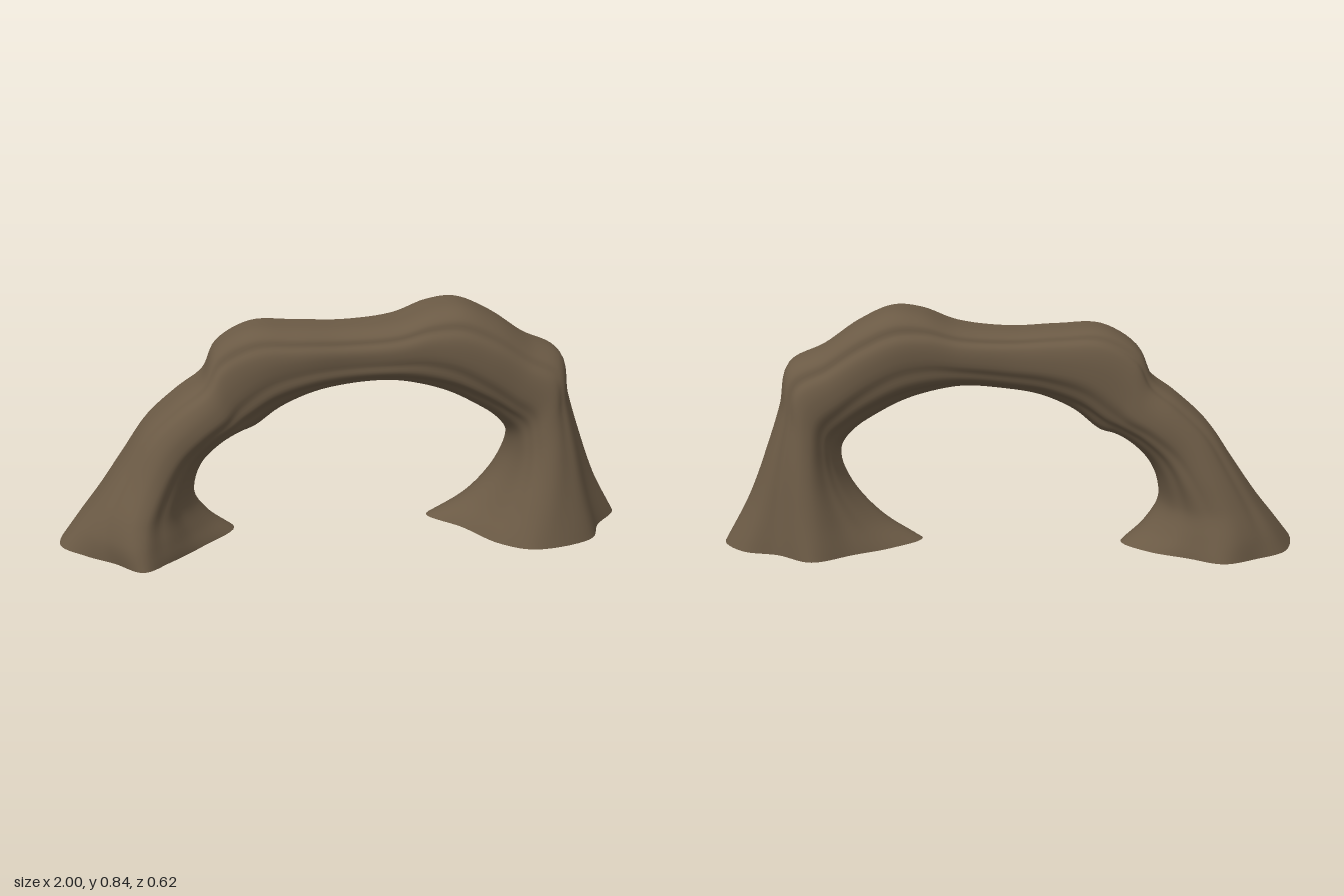
import * as THREE from 'three';

// Stations along the arch: outer x, outer y, inner x, inner y, front z, back z
const STATIONS = [
  [-1.0, 0, -0.39, 0, 0.305, -0.31],
  [-0.94, 0.08, -0.47, 0.06, 0.285, -0.29],
  [-0.87, 0.17, -0.525, 0.14, 0.25, -0.26],
  [-0.78, 0.3, -0.52, 0.22, 0.205, -0.235],
  [-0.69, 0.43, -0.485, 0.295, 0.18, -0.21],
  [-0.58, 0.53, -0.42, 0.36, 0.17, -0.195],
  [-0.49, 0.6, -0.36, 0.395, 0.15, -0.18],
  [-0.44, 0.7, -0.31, 0.41, 0.125, -0.17],
  [-0.32, 0.77, -0.22, 0.48, 0.14, -0.165],
  [-0.17, 0.77, -0.1, 0.535, 0.135, -0.16],
  [0, 0.765, 0.03, 0.56, 0.12, -0.157],
  [0.18, 0.785, 0.16, 0.57, 0.14, -0.17],
  [0.3, 0.83, 0.26, 0.555, 0.155, -0.185],
  [0.4, 0.84, 0.36, 0.525, 0.165, -0.195],
  [0.52, 0.79, 0.45, 0.48, 0.165, -0.195],
  [0.64, 0.71, 0.54, 0.42, 0.158, -0.193],
  [0.76, 0.65, 0.585, 0.36, 0.16, -0.2],
  [0.79, 0.52, 0.585, 0.29, 0.175, -0.215],
  [0.84, 0.37, 0.54, 0.2, 0.205, -0.24],
  [0.91, 0.19, 0.44, 0.1, 0.245, -0.27],
  [1.0, 0.025, 0.31, 0.025, 0.28, -0.3],
];

// Foot outlines from the outer toe, round the front to the inner toe and back (unit size)
const RIGHT_FOOT = [
  [1, 0.16], [0.67, 0.5], [0.34, 0.73], [0, 1], [-0.28, 0.75], [-0.64, 0.33],
  [-1, -0.2], [-0.74, -0.55], [-0.31, -0.8], [0.05, -1], [0.45, -0.85], [0.85, -0.59],
];
const LEFT_FOOT = [
  [1, -0.17], [0.74, 0.31], [0.57, 0.75], [-0.04, 1], [-0.36, 0.8], [-0.68, 0.25],
  [-1, -0.2], [-0.68, -0.55], [-0.33, -0.76], [0.07, -1], [0.42, -0.73], [0.77, -0.59],
];

// Grooves winding along the wood: angle at left foot, angle at right foot, depth, width
const GROOVES = [
  [0.75, 1.25, 0.05, 0.14],
  [1.95, 1.75, 0.06, 0.18],
  [2.5, 2.2, 0.06, 0.16],
  [-0.7, -1.1, 0.06, 0.14],
  [-1.85, -2.0, 0.06, 0.2],
  [-2.4, -2.5, 0.06, 0.16],
];

const ROWS = 120, SIDES = 84;

const closed = (pts) => new THREE.CatmullRomCurve3(pts.map(([u, v]) => new THREE.Vector3(u, v, 0)), true);
const rightFoot = closed(RIGHT_FOOT), leftFoot = closed(LEFT_FOOT);
const track = (pick) => new THREE.CatmullRomCurve3(STATIONS.map((s) => new THREE.Vector3(...pick(s))));
const outerTrack = track((s) => [s[0], s[1], s[4]]);
const innerTrack = track((s) => [s[2], s[3], s[5]]);

// One closed cross-section; angle 0 is the outside of the arch, +90 degrees the front
function section(t) {
  const o = outerTrack.getPoint(t), n = innerTrack.getPoint(t);
  const foot = Math.abs(2 * t - 1) ** 3.2;
  const zMid = (o.z + n.z) / 2, zHalf = (o.z - n.z) / 2;
  const outline = t < 0.5 ? rightFoot : leftFoot;
  const ring = [];
  for (let j = 0; j < SIDES; j++) {
    const a = (j / SIDES) * Math.PI * 2;
    const c = Math.cos(a), s = Math.sin(a);
    // boxy outside and rounder inside along the span
    const e = 0.77 - 0.14 * c;
    let r = 1;
    for (const [a0, a1, depth, spread] of GROOVES) {
      const mid = a0 + (a1 - a0) * t + 0.12 * Math.sin(t * 11 + a0 * 3);
      const d = Math.atan2(Math.sin(a - mid), Math.cos(a - mid)) / spread;
      r -= depth * Math.exp(-d * d);
    }
    // blend from the rounded span into the lobed foot
    const toe = outline.getPoint(j / SIDES);
    const u = THREE.MathUtils.lerp(Math.sign(c) * Math.abs(c) ** e * r, toe.x, foot);
    const v = THREE.MathUtils.lerp(Math.sign(s) * Math.abs(s) ** e * r, toe.y, foot);
    const k = (1 + u) / 2;
    ring.push([n.x + (o.x - n.x) * k, n.y + (o.y - n.y) * k, zMid + zHalf * v]);
  }
  return ring;
}

function makeGeometry(points, index) {
  const g = new THREE.BufferGeometry();
  g.setAttribute('position', new THREE.Float32BufferAttribute(points.flat(), 3));
  g.setIndex(index);
  g.computeVertexNormals();
  return g;
}

// Smooth skin through all the sections
function skinGeometry() {
  const points = [], index = [];
  for (let i = 0; i <= ROWS; i++) {
    points.push(...section(i / ROWS));
    if (i === ROWS) break;
    for (let j = 0; j < SIDES; j++) {
      const k = (j + 1) % SIDES;
      const a = i * SIDES + j, b = i * SIDES + k, c = a + SIDES, d = b + SIDES;
      index.push(a, b, c, b, d, c);
    }
  }
  return makeGeometry(points, index);
}

// Flat sole closing one end
function soleGeometry(t) {
  const ring = section(t), index = [];
  const mid = [0, 1, 2].map((k) => ring.reduce((sum, p) => sum + p[k], 0) / SIDES);
  for (let j = 0; j < SIDES; j++) {
    const k = (j + 1) % SIDES;
    index.push(SIDES, ...(t === 0 ? [k, j] : [j, k]));
  }
  return makeGeometry([...ring, mid], index);
}

export function createModel() {
  const wood = new THREE.MeshStandardMaterial({ color: 0x6b5a45 });
  wood.name = 'brown wood';
  const group = new THREE.Group();
  group.name = 'rootArch';
  const add = (name, geometry) => {
    const mesh = new THREE.Mesh(geometry, wood);
    mesh.name = name;
    group.add(mesh);
  };
  add('archedRoot', skinGeometry());
  add('rightFootSole', soleGeometry(0));
  add('leftFootSole', soleGeometry(1));
  return group;
}
